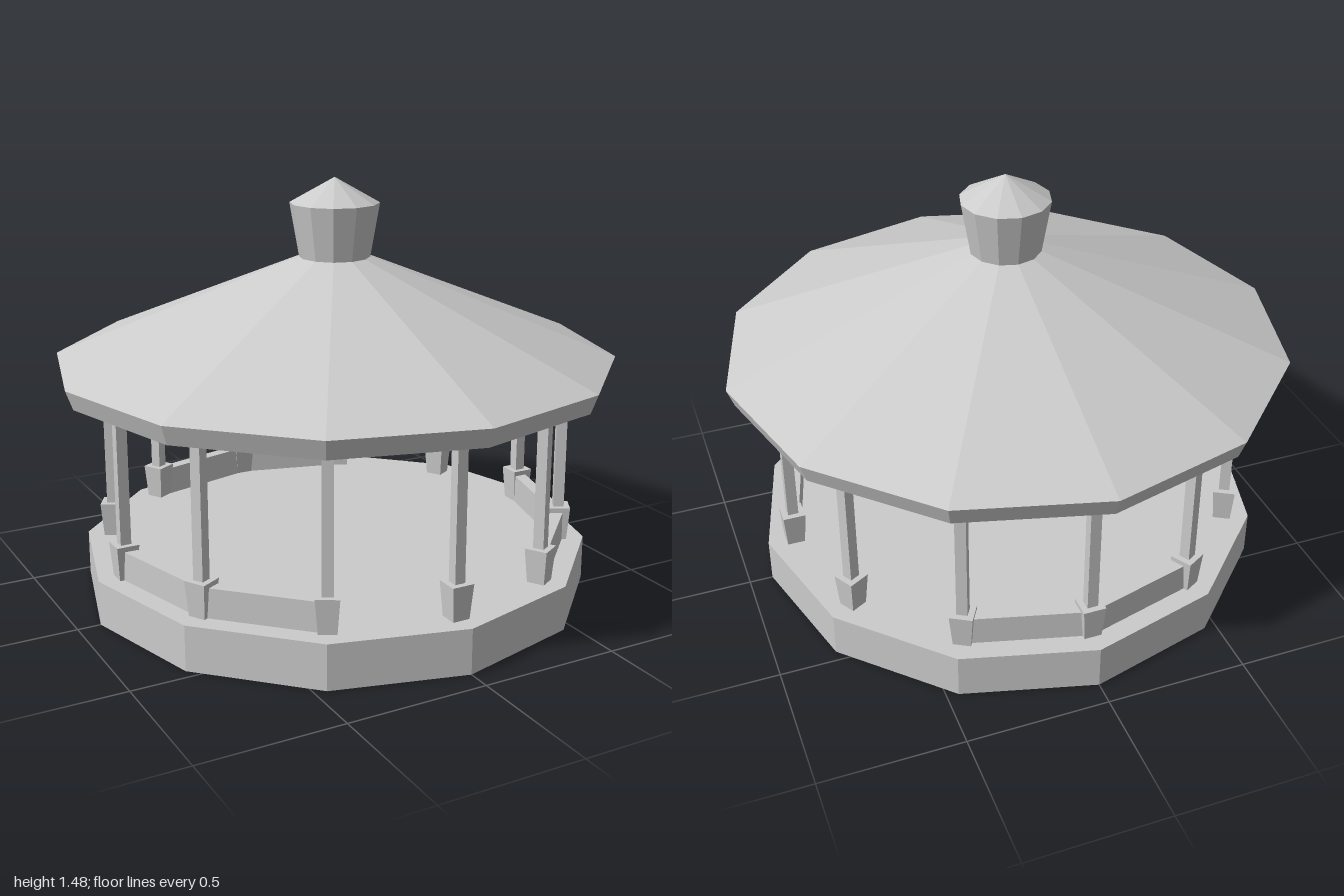
import * as THREE from 'three';

const SIDES = 12;
const POST_RADIUS = 0.82;
const FLOOR = 0.16;

const material = new THREE.MeshStandardMaterial({ color: 0xcccccc, flatShading: true });

function addMesh(parent, name, geometry) {
  const mesh = new THREE.Mesh(geometry, material);
  mesh.name = name;
  parent.add(mesh);
  return mesh;
}

// Twelve-sided solid from a profile of [radius, height] pairs
function turned(profile) {
  return new THREE.LatheGeometry(profile.map(([r, y]) => new THREE.Vector2(r, y)), SIDES);
}

// Four-sided tapered block standing on y = 0
function taperedBlock(topWidth, bottomWidth, height) {
  return new THREE.CylinderGeometry(topWidth * Math.SQRT1_2, bottomWidth * Math.SQRT1_2, height, 4)
    .rotateY(Math.PI / 4)
    .translate(0, height / 2, 0);
}

export function createModel() {
  const model = new THREE.Group();
  model.name = 'pavilion';

  // Floor platform
  addMesh(model, 'platform', turned([[0, 0], [0.917, 0], [0.917, FLOOR], [0, FLOOR]]));

  // Hollow roof with a thick eave and an open underside
  addMesh(model, 'roof', turned([
    [0.78, 0.78], [0.975, 0.78], [1, 0.848], [0.125, 1.205],
    [0.125, 1.16], [0.78, 0.86], [0.78, 0.78],
  ]));

  // Flared cupola with a pointed cap
  addMesh(model, 'cupola', turned([[0, 1.203], [0.125, 1.203], [0.158, 1.395], [0, 1.483]]));

  // Posts on flared footings, one at each corner
  const postGeometry = new THREE.BoxGeometry(0.038, 0.64, 0.038).translate(0, 0.48, 0);
  const footingGeometry = taperedBlock(0.08, 0.062, 0.123).translate(0, FLOOR, 0);
  const step = (Math.PI * 2) / SIDES;
  for (let i = 0; i < SIDES; i++) {
    const corner = new THREE.Group();
    corner.name = 'postWithFooting';
    corner.rotation.y = i * step;
    addMesh(corner, 'post', postGeometry).position.z = POST_RADIUS;
    addMesh(corner, 'footing', footingGeometry).position.z = POST_RADIUS;
    model.add(corner);
  }

  // Low walls in three pairs, leaving three wide entrances
  const wallLength = 2 * POST_RADIUS * Math.sin(step / 2);
  const wallRadius = POST_RADIUS * Math.cos(step / 2);
  const wallHeight = 0.105;
  const wallGeometry = new THREE.BoxGeometry(wallLength, wallHeight, 0.045)
    .translate(0, FLOOR + wallHeight / 2, wallRadius);
  for (const first of [1, 5, 9]) {
    for (const bay of [first, first + 1]) {
      addMesh(model, 'lowWall', wallGeometry).rotation.y = (bay + 0.5) * step;
    }
  }

  return model;
}
